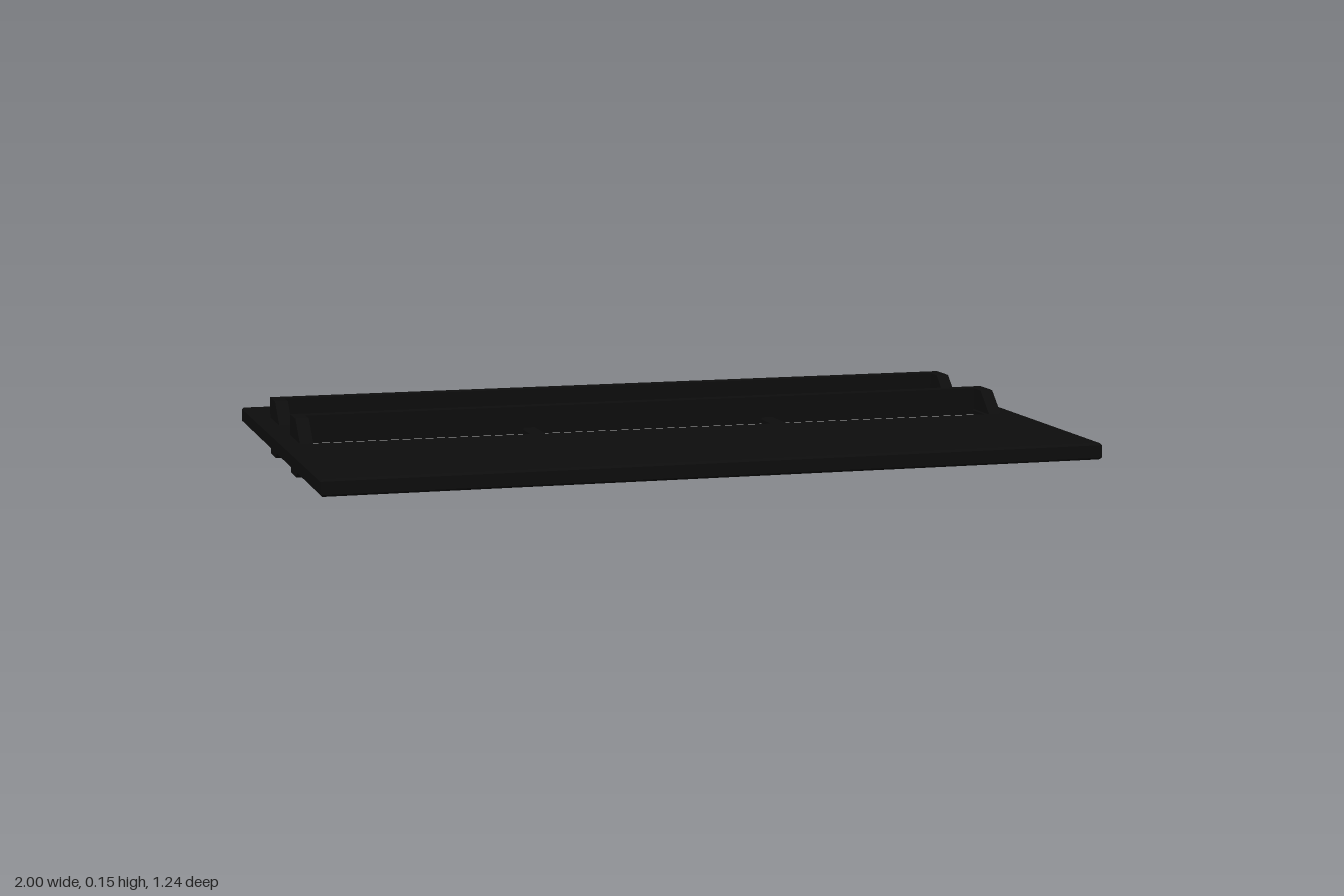
import * as THREE from 'three';

const MID = 0.076; // mid-height of the panel; everything mirrors about it

export function createModel() {
  const group = new THREE.Group();
  const black = new THREE.MeshStandardMaterial({ color: 0x0d0d0d });
  black.name = 'black';
  const grey = new THREE.MeshStandardMaterial({ color: 0xb3b3b3 });
  grey.name = 'light grey';

  const add = (name, geometry, material, x = 0, y = 0, z = 0) => {
    const mesh = new THREE.Mesh(geometry, material);
    mesh.name = name;
    mesh.position.set(x, y, z);
    group.add(mesh);
    return mesh;
  };

  // Half profile of [z, height above mid], mirrored below and extruded along x
  const sideProfile = (half, width) => {
    const lower = half.map(([z, h]) => [z, -h]).reverse();
    const points = [...half, ...lower].map(([z, h]) => new THREE.Vector2(-z, h));
    const geometry = new THREE.ExtrudeGeometry(new THREE.Shape(points), {
      depth: width, bevelEnabled: false,
    });
    geometry.translate(0, 0, -width / 2);
    geometry.rotateY(Math.PI / 2);
    return geometry;
  };

  const rect = (Type, x0, x1, z0, z1) => new Type([
    new THREE.Vector2(x0, -z1), new THREE.Vector2(x1, -z1),
    new THREE.Vector2(x1, -z0), new THREE.Vector2(x0, -z0),
  ]);

  const rows = [0, -0.325];
  const windows = [[-0.92, -0.348], [-0.311, 0.309], [0.346, 0.918]];
  const front = 0.063, back = -0.045;

  // Flat panel with two rows of window openings
  const outline = rect(THREE.Shape, -1, 1, -0.62, 0.62);
  for (const z of rows) {
    for (const [x0, x1] of windows) {
      outline.holes.push(rect(THREE.Path, x0, x1, z + back, z + front));
    }
  }
  const bevel = 0.005;
  const panel = new THREE.ExtrudeGeometry(outline, {
    depth: 0.042 - 2 * bevel, bevelThickness: bevel, bevelSize: bevel,
    bevelOffset: -bevel, bevelSegments: 1,
  });
  panel.rotateX(-Math.PI / 2);
  panel.translate(0, -0.021 + bevel, 0);
  add('panel', panel, black, 0, MID);

  for (const z of rows) {
    // Upright wall behind each row, standing out above and below
    add('rearWall', new THREE.BoxGeometry(1.91, 0.152, 0.04), black, 0, MID, z - 0.065);

    // Sloped cheeks closing both ends of the row
    const cheek = sideProfile(
      [[0.065, 0.018], [0, 0.076], [-0.085, 0.076]], 0.034);
    for (const side of [-1, 1]) add('endCheek', cheek, black, side * 0.938, MID, z);

    // Thin light panes inside the openings
    for (const [x0, x1] of windows) {
      add('pane', new THREE.BoxGeometry(x1 - x0, 0.008, front - back), grey,
        (x0 + x1) / 2, MID, z + (front + back) / 2);
    }
  }

  // Two clips gripping the rear edge
  const head = sideProfile(
    [[-0.545, 0.028], [-0.56, 0.038], [-0.61, 0.038], [-0.62, 0.032]], 0.06);
  const neck = sideProfile(
    [[-0.48, 0.022], [-0.495, 0.03], [-0.56, 0.03]], 0.035);
  for (const x of [-0.495, 0.495]) {
    add('clipHead', head, black, x, MID);
    add('clipNeck', neck, black, x, MID);
  }
  return group;
}
